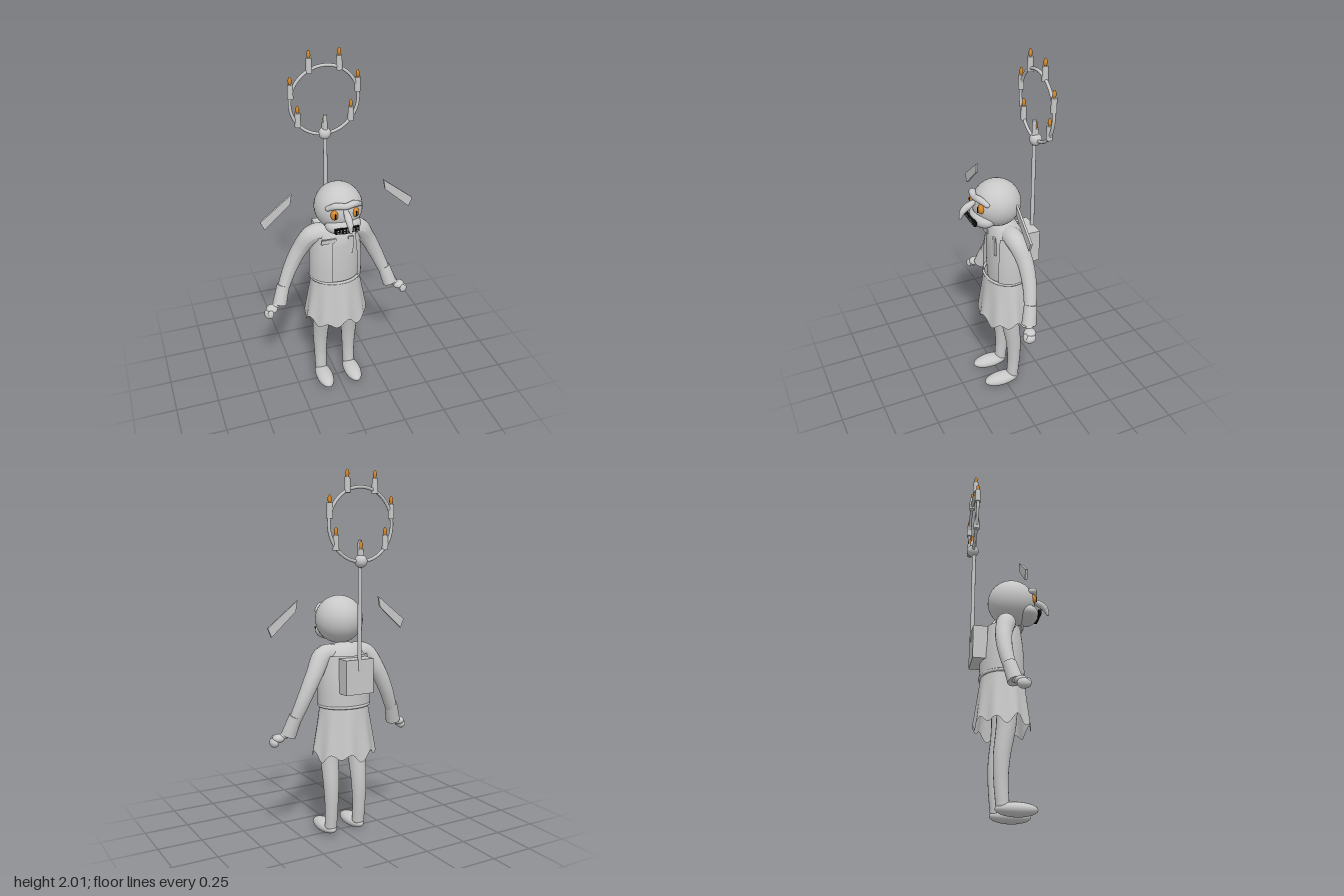
import * as THREE from 'three';
import { ParametricGeometry } from 'three/addons/geometries/ParametricGeometry.js';

const mat = (name, color, side = THREE.FrontSide) => {
  const m = new THREE.MeshStandardMaterial({ color, side });
  m.name = name;
  return m;
};

export function createModel() {
  const root = new THREE.Group();
  root.name = 'figure';
  const grey = mat('plain grey', 0xc8c8c8, THREE.DoubleSide);
  const orange = mat('glowing orange', 0xd98a2b);
  const black = mat('mouth black', 0x0c0c0c);

  const V = (p) => new THREE.Vector3(...p);
  const add = (name, geo, m, pos = [0, 0, 0], parent = root) => {
    const mesh = new THREE.Mesh(geo, m);
    mesh.name = name;
    mesh.position.set(...pos);
    parent.add(mesh);
    return mesh;
  };
  const ball = (name, m, pos, r, parent = root) => {
    const mesh = add(name, new THREE.SphereGeometry(1, 32, 20), m, pos, parent);
    mesh.scale.set(...r);
    return mesh;
  };
  // Tube along points [x, y, z, radius], rounded at both ends
  const limb = (name, pts, m = grey) => {
    const g = new THREE.Group();
    g.name = name;
    root.add(g);
    const curve = new THREE.CatmullRomCurve3(pts.map(p => V(p.slice(0, 3))));
    const N = 32, S = 18;
    const geo = new THREE.TubeGeometry(curve, N, 1, S);
    const pos = geo.attributes.position, v = new THREE.Vector3();
    for (let i = 0; i <= N; i++) {
      const c = curve.getPointAt(i / N);
      const t = curve.getUtoTmapping(i / N) * (pts.length - 1);
      const k = Math.min(Math.floor(t), pts.length - 2);
      const r = THREE.MathUtils.lerp(pts[k][3], pts[k + 1][3], t - k);
      for (let j = 0; j <= S; j++) {
        const n = i * (S + 1) + j;
        v.fromBufferAttribute(pos, n).sub(c).multiplyScalar(r).add(c);
        pos.setXYZ(n, v.x, v.y, v.z);
      }
    }
    geo.computeVertexNormals();
    add(name + 'Tube', geo, m, [0, 0, 0], g);
    for (const p of [pts[0], pts[pts.length - 1]])
      ball(name + 'End', m, p.slice(0, 3), [p[3], p[3], p[3]], g);
    return g;
  };
  const lathe = (name, prof, pos, zScale) => {
    const mesh = add(name, new THREE.LatheGeometry(prof.map(p => new THREE.Vector2(...p)), 40), grey, pos);
    mesh.scale.z = zScale;
    return mesh;
  };

  // Head and face
  ball('head', grey, [0, 1.225, 0.018], [0.132, 0.132, 0.135]);
  ball('muzzle', grey, [0, 1.155, 0.1], [0.1, 0.053, 0.07]);
  limb('brow', [[-0.088, 1.268, 0.11, 0.014], [-0.05, 1.29, 0.138, 0.019],
    [0, 1.285, 0.147, 0.017], [0.05, 1.29, 0.138, 0.019], [0.088, 1.268, 0.11, 0.014]]);
  limb('nose', [[0, 1.255, 0.145, 0.014], [0, 1.235, 0.185, 0.02],
    [0, 1.21, 0.215, 0.017], [0, 1.175, 0.23, 0.008]]);
  add('mouth', new THREE.BoxGeometry(0.134, 0.028, 0.016), black, [0, 1.155, 0.17]);
  for (let i = 0; i < 7; i++) {
    for (const y of [1.162, 1.148])
      add('tooth', new THREE.BoxGeometry(0.008, 0.006, 0.006), grey, [-0.054 + i * 0.018, y, 0.178]);
  }

  // Torso, belt and backpack
  lathe('torso', [[0.13, 0.74], [0.137, 0.85], [0.135, 0.98], [0.125, 1.04], [0.09, 1.085], [0.04, 1.1], [0, 1.102]],
    [0, 0, -0.032], 0.72);
  const vestStart = 0.75, vestSpan = Math.PI * 2 - 1.08;
  add('vest', new ParametricGeometry((u, v, t) => {
    const a = vestStart + u * vestSpan;
    const bulge = 0.006 * Math.sin(v * Math.PI);
    t.set(Math.sin(a) * (0.152 - 0.016 * v + bulge), 0.765 + 0.275 * v,
      -0.036 + Math.cos(a) * (0.122 - 0.02 * v + bulge));
  }, 48, 8), grey);
  add('frontStrap', new THREE.BoxGeometry(0.03, 0.11, 0.008), grey, [0.06, 0.985, 0.057]);
  add('lapel', new THREE.BoxGeometry(0.085, 0.025, 0.008), grey, [-0.068, 1.03, 0.061]);
  const belt = add('belt', new THREE.TorusGeometry(0.145, 0.009, 8, 48), grey, [0, 0.758, -0.036]);
  belt.rotation.x = Math.PI / 2;
  belt.scale.y = 0.83;
  add('backpack', new THREE.BoxGeometry(0.17, 0.19, 0.08), grey, [0, 0.935, -0.168]);

  // Ragged skirt
  add('skirt', new ParametricGeometry((u, v, t) => {
    const a = u * Math.PI * 2;
    const hem = 0.48 + 0.02 * Math.sin(a * 9) + 0.012 * Math.sin(a * 5 + 1);
    const fold = 0.005 * v * Math.sin(a * 9 + 1);
    t.set(Math.sin(a) * (0.138 + 0.045 * v + fold), THREE.MathUtils.lerp(0.76, hem, v),
      -0.034 + Math.cos(a) * (0.118 + 0.034 * v + fold));
  }, 90, 8), grey);

  // Paired parts
  for (const s of [1, -1]) {
    const side = s > 0 ? 'left' : 'right';
    const eye = ball(side + 'Eye', orange, [s * 0.058, 1.235, 0.132], [0.021, 0.028, 0.02]);
    eye.rotation.y = s * 0.3;
    add(side + 'Pupil', new THREE.BoxGeometry(0.006, 0.03, 0.006), black, [s * 0.058, 1.235, 0.151]);

    // Floating ear plate
    const shape = new THREE.Shape([[0.433, 1.2], [0.258, 1.338], [0.268, 1.28], [0.412, 1.15]]
      .map(p => new THREE.Vector2(s * p[0], p[1])));
    add(side + 'Ear', new THREE.ExtrudeGeometry(shape, { depth: 0.012, bevelEnabled: false }), grey, [0, 0, 0.014]);

    limb(side + 'Arm', [[0, 1.03, -0.03, 0.06], [s * 0.13, 1.037, -0.035, 0.054], [s * 0.2, 0.94, -0.06, 0.046],
      [s * 0.26, 0.82, -0.062, 0.04], [s * 0.315, 0.69, -0.042, 0.033], [s * 0.345, 0.63, -0.025, 0.024],
      [s * 0.375, 0.608, -0.01, 0.018]]);
    // Cuff aligned with the forearm
    const cuff = add(side + 'Cuff', new THREE.CylinderGeometry(0.036, 0.041, 0.115, 24), grey, [s * 0.323, 0.67, -0.036]);
    cuff.quaternion.setFromUnitVectors(V([0, 1, 0]), V([-s * 0.033, 0.11, -0.025]).normalize());
    // Fist
    ball(side + 'Palm', grey, [s * 0.39, 0.602, -0.005], [0.034, 0.024, 0.034]);
    ball(side + 'Fingers', grey, [s * 0.412, 0.58, 0.003], [0.025, 0.027, 0.034]);
    ball(side + 'Thumb', grey, [s * 0.405, 0.587, 0.028], [0.018, 0.026, 0.014]);

    limb(side + 'Leg', [[s * 0.085, 0.66, -0.02, 0.058], [s * 0.088, 0.48, -0.026, 0.053], [s * 0.09, 0.3, -0.05, 0.044],
      [s * 0.09, 0.17, -0.053, 0.037], [s * 0.09, 0.06, -0.045, 0.035]]);
    ball(side + 'Foot', grey, [s * 0.09, 0.04, 0.025], [0.05, 0.037, 0.11]);
  }

  // Pole and candle ring
  const z = -0.21, cy = 1.738, R = 0.19;
  add('pole', new THREE.CylinderGeometry(0.011, 0.011, 0.6, 16), grey, [0, 1.27, -0.202]);
  add('poleTip', new THREE.CylinderGeometry(0.011, 0.013, 0.11, 16), grey, [0, 1.605, -0.2]);
  ball('joint', grey, [0, 1.55, z], [0.034, 0.034, 0.034]);
  add('ring', new THREE.TorusGeometry(R, 0.009, 10, 64), grey, [0, cy, z]);
  for (let i = 0; i < 7; i++) {
    const a = -Math.PI / 2 + i * Math.PI * 2 / 7;
    const g = new THREE.Group();
    g.name = 'candle';
    g.position.set(R * Math.cos(a), cy + R * Math.sin(a), z);
    root.add(g);
    add('wax', new THREE.CylinderGeometry(0.015, 0.017, 0.078, 16), grey, [0, 0.026, 0], g);
    ball('flame', orange, [0, 0.082, 0], [0.01, 0.023, 0.01], g);
  }
  return root;
}
